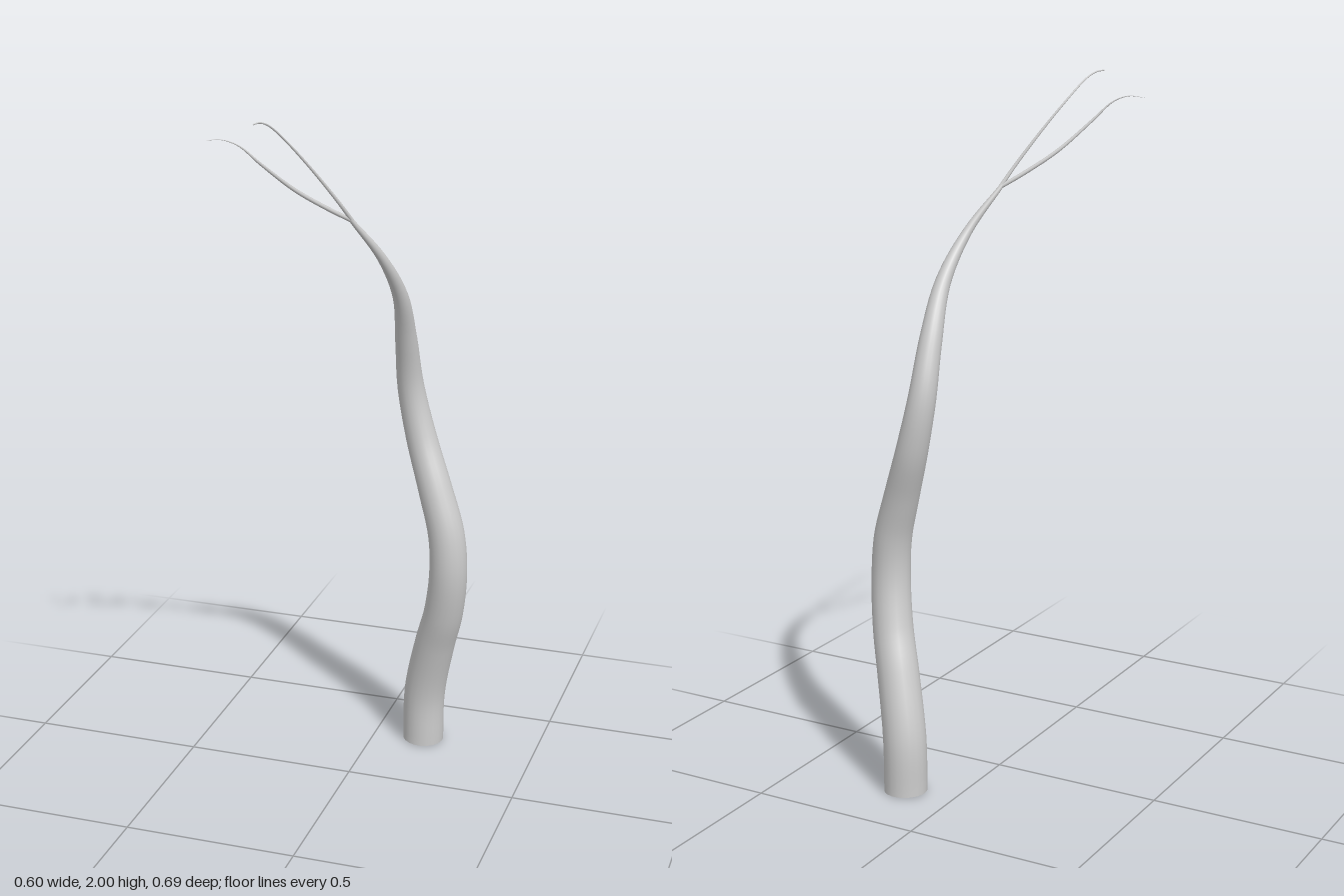
import * as THREE from 'three';

const material = new THREE.MeshStandardMaterial({ color: 0xcccccc });

// Sweeps a round section along points [x, y, z, radius]
function taperedTube(points, sides, stepsPerSpan) {
  const curve = new THREE.CatmullRomCurve3(points.map(p => new THREE.Vector3(p[0], p[1], p[2])));
  const spans = points.length - 1;
  const rings = spans * stepsPerSpan;
  const across = new THREE.Vector3(1, 0, 1).normalize();
  const pos = [], index = [];
  for (let i = 0; i <= rings; i++) {
    const t = i / rings;
    const centre = curve.getPoint(t);
    const tangent = curve.getTangent(t);
    const n = new THREE.Vector3().crossVectors(tangent, across).normalize();
    const b = new THREE.Vector3().crossVectors(tangent, n);
    const k = Math.min(Math.floor(t * spans), spans - 1);
    const r = THREE.MathUtils.lerp(points[k][3], points[k + 1][3], t * spans - k);
    for (let j = 0; j < sides; j++) {
      const a = (j / sides) * Math.PI * 2;
      const v = centre.clone().addScaledVector(n, Math.cos(a) * r).addScaledVector(b, Math.sin(a) * r);
      pos.push(v.x, v.y, v.z);
      if (i < rings) {
        const p = i * sides + j, q = i * sides + ((j + 1) % sides);
        index.push(p, q, q + sides, p, q + sides, p + sides);
      }
    }
  }
  const geometry = new THREE.BufferGeometry();
  geometry.setAttribute('position', new THREE.Float32BufferAttribute(pos, 3));
  geometry.setIndex(index);
  geometry.computeVertexNormals();
  return geometry;
}

function addPart(group, name, geometry) {
  const mesh = new THREE.Mesh(geometry, material);
  mesh.name = name;
  group.add(mesh);
  return mesh;
}

export function createModel() {
  const group = new THREE.Group();
  group.name = 'forkedTendril';

  // Winding stem, thinning towards the fork
  addPart(group, 'stem', taperedTube([
    [0.15, 0, -0.281, 0.062],
    [0.154, 0.16, -0.278, 0.062],
    [0.192, 0.34, -0.247, 0.06],
    [0.225, 0.46, -0.218, 0.058],
    [0.243, 0.6, -0.196, 0.056],
    [0.235, 0.72, -0.196, 0.054],
    [0.196, 0.85, -0.21, 0.05],
    [0.144, 1.0, -0.235, 0.045],
    [0.112, 1.15, -0.232, 0.039],
    [0.11, 1.3, -0.188, 0.032],
    [0.113, 1.45, -0.114, 0.022],
    [0.085, 1.58, -0.025, 0.013],
    [0.022, 1.7, 0.055, 0.006],
  ], 20, 6));

  // Flat end of the stem
  const base = addPart(group, 'stemBase', new THREE.CircleGeometry(0.062, 20));
  base.rotation.x = Math.PI / 2;
  base.position.set(0.15, 0, -0.281);

  // Lower whisker, bending outwards to its tip
  addPart(group, 'lowerWhisker', taperedTube([
    [0.026, 1.695, 0.051, 0.006],
    [-0.03, 1.735, 0.096, 0.006],
    [-0.1, 1.793, 0.156, 0.0055],
    [-0.17, 1.873, 0.226, 0.004],
    [-0.215, 1.922, 0.258, 0.002],
    [-0.255, 1.938, 0.273, 0.001],
    [-0.3, 1.935, 0.28, 0.0004],
  ], 8, 6));

  // Upper whisker, curling over to the front
  addPart(group, 'upperWhisker', taperedTube([
    [0.026, 1.695, 0.051, 0.006],
    [0, 1.75, 0.086, 0.005],
    [-0.05, 1.84, 0.141, 0.004],
    [-0.1, 1.927, 0.205, 0.003],
    [-0.126, 1.98, 0.268, 0.0025],
    [-0.136, 1.996, 0.31, 0.0022],
    [-0.142, 1.998, 0.35, 0.0018],
  ], 8, 6));

  return group;
}
